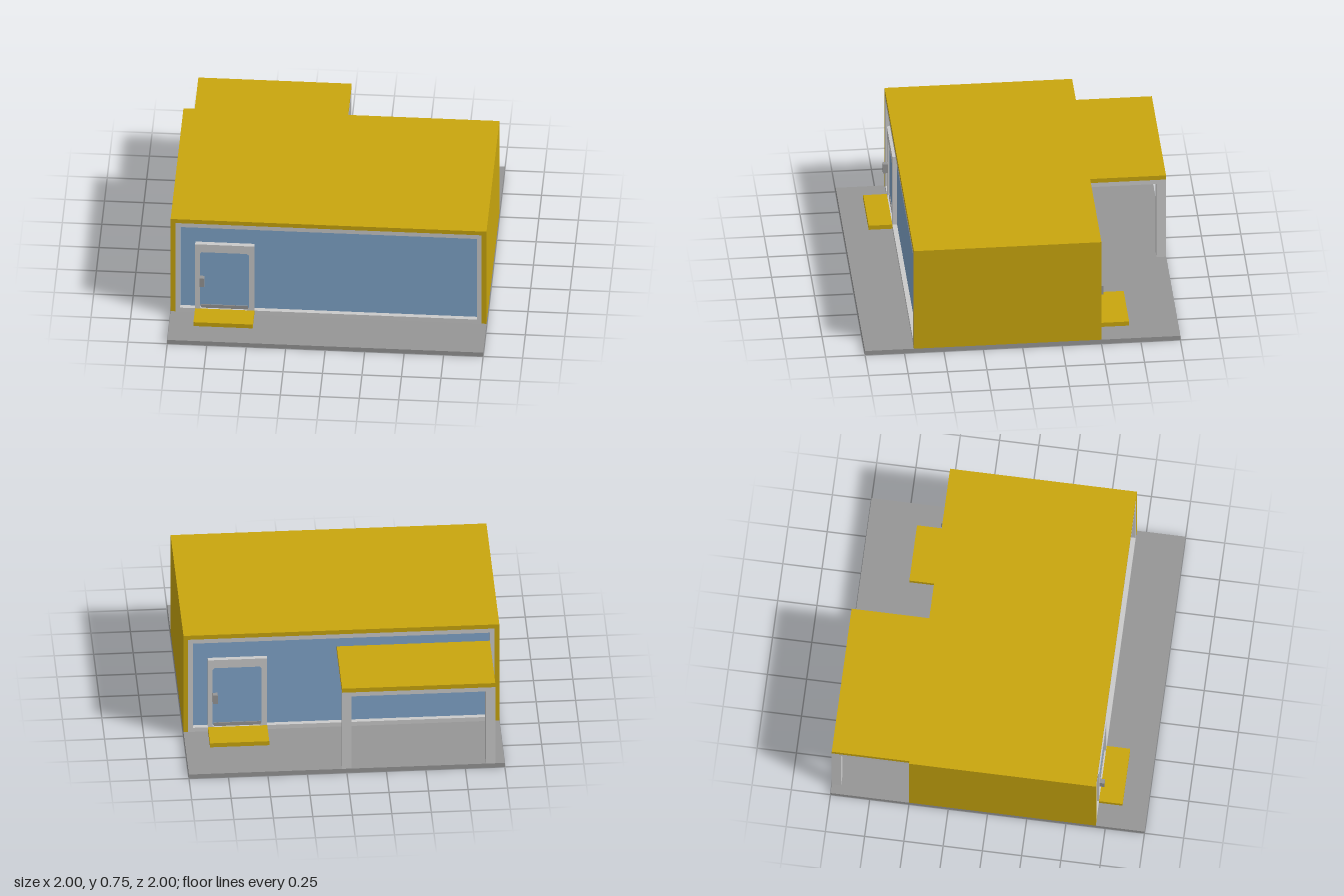
import * as THREE from 'three';

const mat = (name, color) => new THREE.MeshStandardMaterial({ name, color });

export function createModel() {
  const yellow = mat('yellow', 0xc9a60e);
  const grey = mat('grey', 0x969696);
  const light = mat('lightGrey', 0xcacaca);
  const blue = mat('glassBlue', 0x80a5ca);

  const root = new THREE.Group();
  root.name = 'modularHouse';

  // Box given by its minimum and maximum corners
  function box(parent, name, material, [x0, y0, z0], [x1, y1, z1]) {
    const mesh = new THREE.Mesh(new THREE.BoxGeometry(x1 - x0, y1 - y0, z1 - z0), material);
    mesh.position.set((x0 + x1) / 2, (y0 + y1) / 2, (z0 + z1) / 2);
    mesh.name = name;
    parent.add(mesh);
    return mesh;
  }

  // Outline with corners cut by c
  function outline(Type, x0, y0, x1, y1, c = 0) {
    const pts = c
      ? [[x0 + c, y0], [x1 - c, y0], [x1, y0 + c], [x1, y1 - c], [x1 - c, y1], [x0 + c, y1], [x0, y1 - c], [x0, y0 + c]]
      : [[x0, y0], [x1, y0], [x1, y1], [x0, y1]];
    return new Type(pts.map(p => new THREE.Vector2(...p)));
  }

  // Rectangular ring extruded forward from z = back
  function ring(parent, name, material, outer, inner, back, depth, cut) {
    const shape = outline(THREE.Shape, ...outer);
    shape.holes.push(outline(THREE.Path, ...inner, cut));
    const mesh = new THREE.Mesh(new THREE.ExtrudeGeometry(shape, { depth, bevelEnabled: false }), material);
    mesh.position.z = back;
    mesh.name = name;
    parent.add(mesh);
  }

  // Ground slab
  box(root, 'baseSlab', grey, [-1, 0, -1], [1, 0.03, 1]);

  // Roof and side walls
  box(root, 'roof', yellow, [-1, 0.72, -0.5], [1, 0.75, 0.69]);
  for (const s of [-1, 1]) {
    box(root, s < 0 ? 'rightWall' : 'leftWall', yellow,
      [s < 0 ? -1 : 0.97, 0.03, -0.5], [s < 0 ? -0.97 : 1, 0.72, 0.69]);
  }

  // Glazed facade facing +z, its outer plane at z = 0
  function facade(name, stepDepth) {
    const g = new THREE.Group();
    g.name = name;
    ring(g, 'windowFrame', light, [-0.97, 0.03, 0.97, 0.72], [-0.94, 0.06, 0.94, 0.69], -0.03, 0.03, 0);
    box(g, 'windowGlass', blue, [-0.96, 0.04, -0.04], [0.96, 0.71, -0.03]);
    // Door with recessed pane, sill and handle
    ring(g, 'doorFrame', light, [-0.845, 0.035, -0.47, 0.56], [-0.815, 0.06, -0.505, 0.5], -0.03, 0.03, 0.012);
    box(g, 'doorGlass', blue, [-0.83, 0.05, -0.03], [-0.49, 0.52, -0.015]);
    box(g, 'doorSill', grey, [-0.81, 0.06, -0.016], [-0.51, 0.085, -0.01]);
    box(g, 'doorHandle', grey, [-0.815, 0.25, -0.002], [-0.785, 0.315, 0.03]);
    box(g, 'doorStep', yellow, [-0.845, 0.03, 0], [-0.47, 0.06, stepDepth]);
    root.add(g);
    return g;
  }
  facade('frontFacade', 0.15).position.z = 0.69;
  const back = facade('backFacade', 0.19);
  back.rotation.y = Math.PI;
  back.position.z = -0.5;

  // Rear canopy on two posts
  const canopy = new THREE.Group();
  canopy.name = 'canopy';
  box(canopy, 'canopyRoof', yellow, [-0.94, 0.6, -1], [0.03, 0.63, -0.5]);
  box(canopy, 'canopyCeiling', light, [-0.94, 0.57, -1], [0.03, 0.6, -0.5]);
  for (const x of [-0.94, -0.03]) {
    box(canopy, 'canopyPost', light, [x, 0.03, -1], [x + 0.06, 0.57, -0.94]);
  }
  root.add(canopy);

  return root;
}
